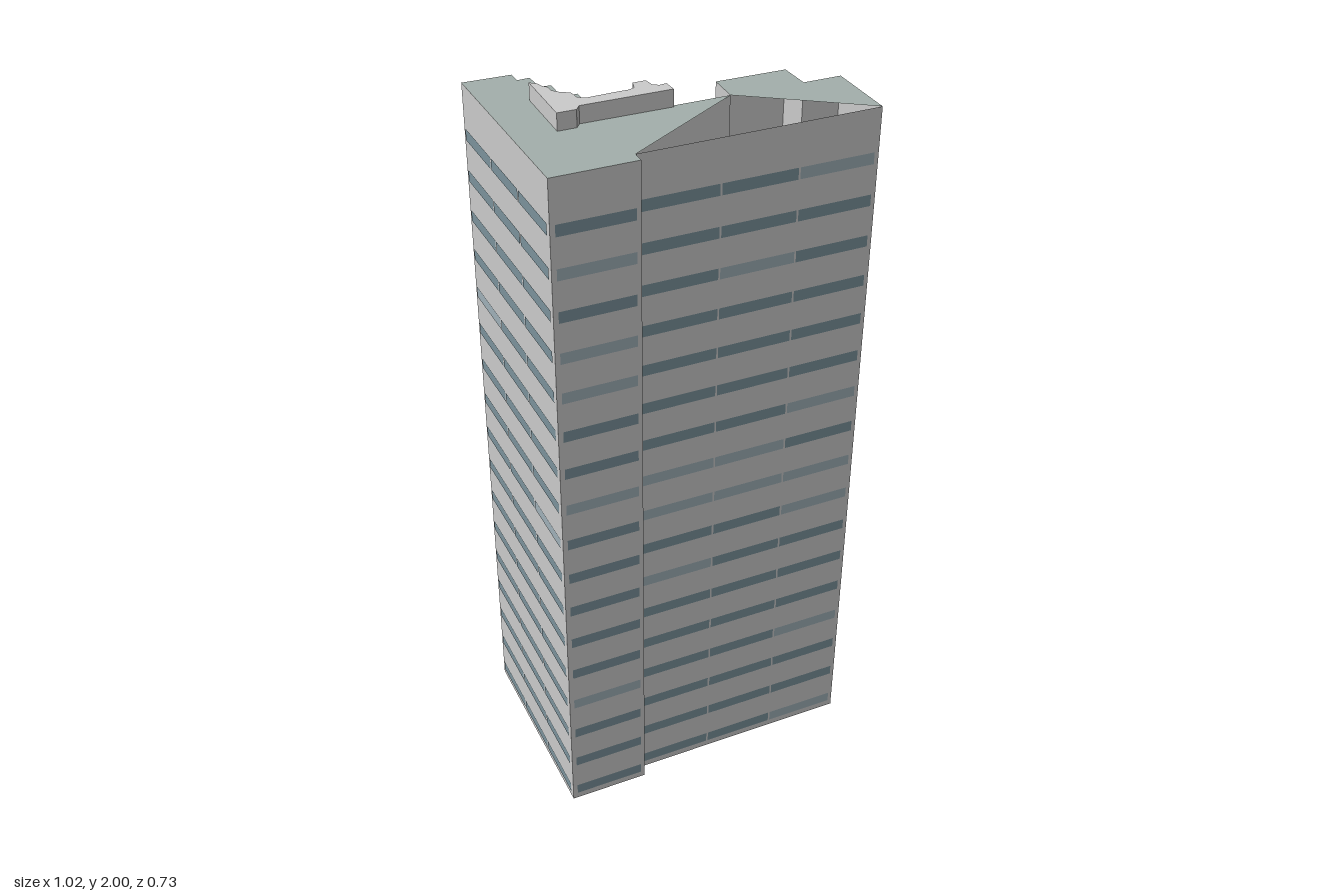
import * as THREE from 'three';

const HEIGHT = 1.955, FLOORS = 17, STOREY = 0.1118;

// Footprint corners [x, z], clockwise seen from above
const FOOTPRINT = [
  [-0.512, -0.10], [-0.408, -0.176], [-0.384, -0.146], [-0.359, -0.168], [-0.318, -0.119],
  [-0.294, -0.135], [-0.25, -0.075], [-0.217, -0.10], [-0.184, -0.056], [-0.138, -0.089],
  [-0.074, -0.01], [0.143, -0.176], [0.092, -0.25], [0.245, -0.365], [0.302, -0.294],
  [0.384, -0.357], [0.507, -0.193], [0, 0.198], [0.02, 0.225], [-0.157, 0.362],
];

const PENTHOUSE = [
  [-0.318, -0.034], [-0.294, -0.031], [-0.28, -0.02], [-0.266, -0.018], [-0.253, -0.001],
  [-0.231, 0.004], [-0.204, 0.001], [-0.184, 0.023], [-0.163, 0.023], [-0.094, -0.034],
  [-0.078, -0.045], [-0.067, -0.061], [-0.078, -0.089], [-0.051, -0.11], [-0.029, -0.089],
  [-0.012, -0.091], [0.001, -0.105], [0.026, -0.075], [-0.165, 0.07], [-0.165, 0.092],
  [-0.204, 0.122],
];

const planShape = (points) => new THREE.Shape(points.map(([x, z]) => new THREE.Vector2(x, -z)));

export function createModel() {
  const model = new THREE.Group();
  model.name = 'towerBlock';
  const wallMat = new THREE.MeshStandardMaterial({ color: 0xcccccc, side: THREE.DoubleSide });
  const roofMat = new THREE.MeshStandardMaterial({ color: 0xa4b0ac, side: THREE.DoubleSide });
  const glassMat = new THREE.MeshStandardMaterial({ color: 0x7b929b });
  const paleGlassMat = new THREE.MeshStandardMaterial({ color: 0x9fb0b8 });

  let seed = 7;
  const random = () => (seed = (seed * 16807) % 2147483647) / 2147483647;

  const add = (parent, name, geometry, material) => {
    const mesh = new THREE.Mesh(geometry, material);
    mesh.name = name;
    parent.add(mesh);
    return mesh;
  };

  const walls = new THREE.Group();
  walls.name = 'walls';
  const windows = new THREE.Group();
  windows.name = 'windows';
  model.add(walls, windows);

  FOOTPRINT.forEach(([x0, z0], i) => {
    const [x1, z1] = FOOTPRINT[(i + 1) % FOOTPRINT.length];
    const dx = x1 - x0, dz = z1 - z0, length = Math.hypot(dx, dz);
    const facade = new THREE.Group();
    facade.name = 'facade';
    facade.position.set((x0 + x1) / 2, 0, (z0 + z1) / 2);
    facade.rotation.y = Math.atan2(dz, -dx); // local +z points outward
    walls.add(facade);

    add(facade, 'wall', new THREE.PlaneGeometry(length, HEIGHT), wallMat).position.y = HEIGHT / 2;

    // Ribbon windows on every wall wide enough, one row per storey
    if (length < 0.056) return;
    const count = Math.max(1, Math.round(length / 0.2));
    const margin = Math.min(0.01, length * 0.12);
    const bay = (length - 2 * margin) / count;
    const pane = new THREE.PlaneGeometry(bay - 0.005, 0.031);
    const glazing = new THREE.Group();
    glazing.name = 'windowRows';
    glazing.position.copy(facade.position);
    glazing.rotation.copy(facade.rotation);
    windows.add(glazing);
    for (let floor = 0; floor < FLOORS; floor++) {
      for (let k = 0; k < count; k++) {
        const glass = random() < 0.14 ? paleGlassMat : glassMat;
        add(glazing, 'window', pane, glass)
          .position.set((k - (count - 1) / 2) * bay, 0.036 + floor * STOREY, 0.002);
      }
    }
  });

  // Roof in two slabs that meet at the inner corner, open between them
  const mainRoof = [...FOOTPRINT.slice(0, 12), ...FOOTPRINT.slice(17)];
  const wingRoof = FOOTPRINT.slice(11, 17);
  for (const [name, outline] of [['mainRoof', mainRoof], ['wingRoof', wingRoof]]) {
    const slab = new THREE.ShapeGeometry(planShape(outline)).rotateX(-Math.PI / 2);
    add(model, name, slab, roofMat).position.y = HEIGHT;
  }

  // Plant room standing on the roof
  const plantRoom = new THREE.ExtrudeGeometry(planShape(PENTHOUSE), { depth: 2 - HEIGHT, bevelEnabled: false });
  add(model, 'penthouse', plantRoom.rotateX(-Math.PI / 2), wallMat).position.y = HEIGHT + 0.0005;

  return model;
}
